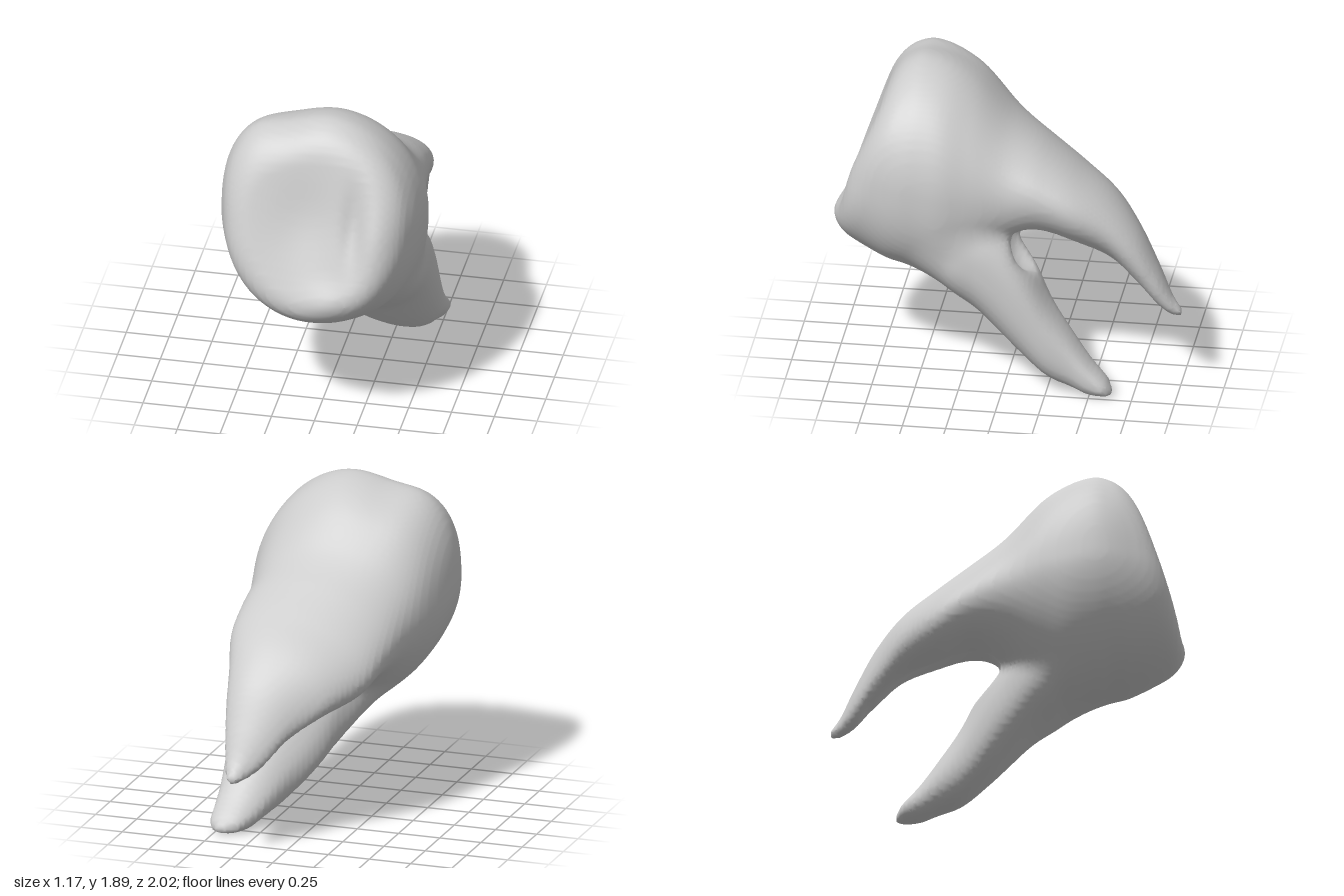
import * as THREE from 'three';

// Cross-sections along z: [z, centreX, centreY, radiusX, radiusY, tilt]
const CROWN_AND_UPPER_ROOT = [
  [-1.0, 0.25, 0.47, 0.03, 0.025, 0.1], [-0.95, 0.24, 0.505, 0.065, 0.058, 0.15],
  [-0.87, 0.21, 0.61, 0.125, 0.12, 0.2], [-0.75, 0.17, 0.78, 0.2, 0.17, 0.2],
  [-0.6, 0.1, 0.925, 0.305, 0.195, 0.2], [-0.4, 0.055, 1.03, 0.41, 0.236, 0.2],
  [-0.2, 0.03, 1.12, 0.45, 0.285, 0.15], [0, 0.015, 1.16, 0.485, 0.39, 0.07],
  [0.2, 0.01, 1.2, 0.54, 0.56, 0], [0.35, 0.01, 1.22, 0.575, 0.64, 0],
  [0.5, 0, 1.25, 0.58, 0.65, 0], [0.6, 0, 1.255, 0.572, 0.625, 0],
  [0.7, 0, 1.25, 0.545, 0.6, 0], [0.85, 0, 1.25, 0.49, 0.535, 0],
  [1.0, 0.01, 1.24, 0.42, 0.435, 0], [1.15, 0.01, 1.2, 0.35, 0.32, 0],
];
const LOWER_ROOT = [
  [-0.63, 0.45, 0.03, 0.03, 0.015, 0], [-0.6, 0.435, 0.05, 0.085, 0.045, 0],
  [-0.5, 0.405, 0.1, 0.125, 0.1, 0], [-0.4, 0.375, 0.18, 0.155, 0.15, 0],
  [-0.25, 0.335, 0.315, 0.21, 0.235, 0], [-0.1, 0.27, 0.52, 0.28, 0.33, 0],
  [0, 0.235, 0.64, 0.315, 0.36, 0], [0.15, 0.18, 0.77, 0.37, 0.35, 0],
  [0.3, 0.14, 0.83, 0.4, 0.31, 0], [0.5, 0.1, 0.9, 0.35, 0.25, 0],
  [0.7, 0.1, 1.0, 0.2, 0.2, 0],
];
// Relief of the chewing face: [x, y, widthX, widthY, height]
const RELIEF = [
  [-0.04, 1.35, 0.22, 0.28, -0.04], // basin
  [0.24, 1.35, 0.06, 0.2, -0.035],  // groove
  [0.12, 0.94, 0.14, 0.09, 0.025],  // lower cusp
  [0.38, 1.3, 0.1, 0.2, 0.02],      // side cusp
];

const { lerp, clamp, smoothstep } = THREE.MathUtils;
const smoothMin = (a, b, k) => {
  const h = Math.max(k - Math.abs(a - b), 0) / k;
  return Math.min(a, b) - h * h * k / 4;
};
const smoothMax = (a, b, k) => -smoothMin(-a, -b, k);

// Smoothly interpolated cross-section at z
function sectionAt(rows, z) {
  const n = rows.length - 1;
  if (z <= rows[0][0]) return rows[0];
  if (z >= rows[n][0]) return rows[n];
  let i = 0;
  while (rows[i + 1][0] < z) i++;
  const a = rows[i], b = rows[i + 1], before = rows[Math.max(i - 1, 0)], after = rows[Math.min(i + 2, n)];
  const d = b[0] - a[0], t = (z - a[0]) / d, t2 = t * t, t3 = t2 * t;
  return a.map((v, c) => {
    const m0 = (b[c] - before[c]) / (b[0] - before[0]) * d;
    const m1 = (after[c] - v) / (after[0] - a[0]) * d;
    return (2 * t3 - 3 * t2 + 1) * v + (t3 - 2 * t2 + t) * m0 + (3 * t2 - 2 * t3) * b[c] + (t3 - t2) * m1;
  });
}

// Signed distance-like value to a section; powers give each quadrant its squareness
// in the order upper -x, upper +x, lower -x, lower +x
function sectionField(s, x, y, powers) {
  const rx = Math.max(s[3], 0.01), ry = Math.max(s[4], 0.01);
  const u = (x - s[1]) / rx, v = (y - s[2] - s[5] * (x - s[1])) / ry;
  const p = powers[(v < 0 ? 2 : 0) + (u < 0 ? 0 : 1)];
  return (Math.pow(Math.pow(Math.abs(u), p) + Math.pow(Math.abs(v), p), 1 / p) - 1) * Math.min(rx, ry);
}

// Field for one z slice: negative inside the tooth
function sliceField(z) {
  const body = sectionAt(CROWN_AND_UPPER_ROOT, z), root = sectionAt(LOWER_ROOT, z);
  const bodyEnd = Math.max(-1 - z, z - 1.15, 0), rootEnd = Math.max(-0.63 - z, z - 0.7, 0);
  // Round roots, egg-shaped neck, squarer towards the chewing face
  const neck = smoothstep(z, -0.2, 0.5), front = smoothstep(z, 0.55, 0.9);
  const neckPowers = [2.7, 2, 1.8, 2.4], frontPowers = [2.7, 2.4, 2, 2.2];
  const powers = neckPowers.map((p, i) => lerp(lerp(2, p, neck), frontPowers[i], front));
  const rootPowers = [1.7, 2.6, 2.4, 2.3];
  // Hollow between the roots, running out along the underside of the upper one
  const t = clamp((z + 0.14) / -0.61, 0, 1);
  const hx = 0.2 - 0.04 * t, hy = 0.84 - 0.3 * t * t, hz = -0.14 - 0.61 * t, hr = 0.16 - 0.12 * t;
  return (x, y) => {
    let upper = sectionField(body, x, y, powers) + bodyEnd * 2;
    // Shallow dip between the two top cusps
    upper += 0.035 * Math.exp(-(((x + 0.2) / 0.16) ** 2)) * neck * smoothstep(y, 1.4, 1.8);
    const lower = sectionField(root, x, y, rootPowers) + rootEnd * 2;
    const hollow = hr - Math.hypot((x - hx) * 0.65, y - hy, z - hz);
    const roots = smoothMax(smoothMin(upper, lower, 0.06), hollow, 0.07);
    let face = 0.943 * z + 0.33 * y - 1.25;
    for (const [cx, cy, wx, wy, height] of RELIEF) {
      face -= height * Math.exp(-(((x - cx) / wx) ** 2) - ((y - cy) / wy) ** 2);
    }
    return smoothMax(roots, face, 0.13);
  };
}

// Skin the field with one vertex per crossed grid cell
function skinField(min, max, step) {
  const size = [0, 1, 2].map((a) => Math.round((max[a] - min[a]) / step) + 1);
  const stride = [1, size[0], size[0] * size[1]];
  const values = new Float32Array(size[0] * size[1] * size[2]);
  for (let k = 0; k < size[2]; k++) {
    const f = sliceField(min[2] + k * step);
    for (let j = 0; j < size[1]; j++) {
      for (let i = 0; i < size[0]; i++) {
        values[i + j * stride[1] + k * stride[2]] = f(min[0] + i * step, min[1] + j * step);
      }
    }
  }

  const positions = [], index = [], vertexOf = new Int32Array(values.length).fill(-1);
  const forCells = (start, visit) => {
    for (let k = start; k < size[2] - 1; k++)
      for (let j = start; j < size[1] - 1; j++)
        for (let i = start; i < size[0] - 1; i++) visit([i, j, k], i + j * stride[1] + k * stride[2]);
  };

  // Vertices: mean of the crossings on the cell's edges
  forCells(0, (cell, id) => {
    const sum = [0, 0, 0];
    let count = 0;
    for (let a = 0; a < 3; a++) {
      const b = (a + 1) % 3, c = (a + 2) % 3;
      for (let e = 0; e < 4; e++) {
        const ob = e & 1, oc = e >> 1;
        const p = id + ob * stride[b] + oc * stride[c];
        const v0 = values[p], v1 = values[p + stride[a]];
        if ((v0 < 0) === (v1 < 0)) continue;
        sum[a] += v0 / (v0 - v1);
        sum[b] += ob;
        sum[c] += oc;
        count++;
      }
    }
    if (!count) return;
    vertexOf[id] = positions.length / 3;
    for (let a = 0; a < 3; a++) positions.push(min[a] + (cell[a] + sum[a] / count) * step);
  });

  // Faces: one quad around every crossed grid edge
  forCells(1, (cell, id) => {
    for (let a = 0; a < 3; a++) {
      const inside = values[id] < 0;
      if (inside === (values[id + stride[a]] < 0)) continue;
      const sb = stride[(a + 1) % 3], sc = stride[(a + 2) % 3];
      const q = [id - sb - sc, id - sc, id, id - sb].map((n) => vertexOf[n]);
      if (!inside) q.reverse();
      index.push(q[0], q[1], q[2], q[0], q[2], q[3]);
    }
  });

  const geometry = new THREE.BufferGeometry();
  geometry.setAttribute('position', new THREE.Float32BufferAttribute(positions, 3));
  geometry.setIndex(index);
  geometry.computeVertexNormals();
  return geometry;
}

export function createModel() {
  const enamel = new THREE.MeshStandardMaterial({ color: 0xcccccc });
  enamel.name = 'paleGreyEnamel';

  // Crown and both roots as one continuous smooth skin, standing on the ground
  const geometry = skinField([-0.7, -0.1, -1.1], [0.7, 2.0, 1.15], 0.025);
  geometry.computeBoundingBox();
  geometry.translate(0, -geometry.boundingBox.min.y, 0);
  const tooth = new THREE.Mesh(geometry, enamel);
  tooth.name = 'crownAndRoots';

  const group = new THREE.Group();
  group.name = 'molarTooth';
  group.add(tooth);
  return group;
}
